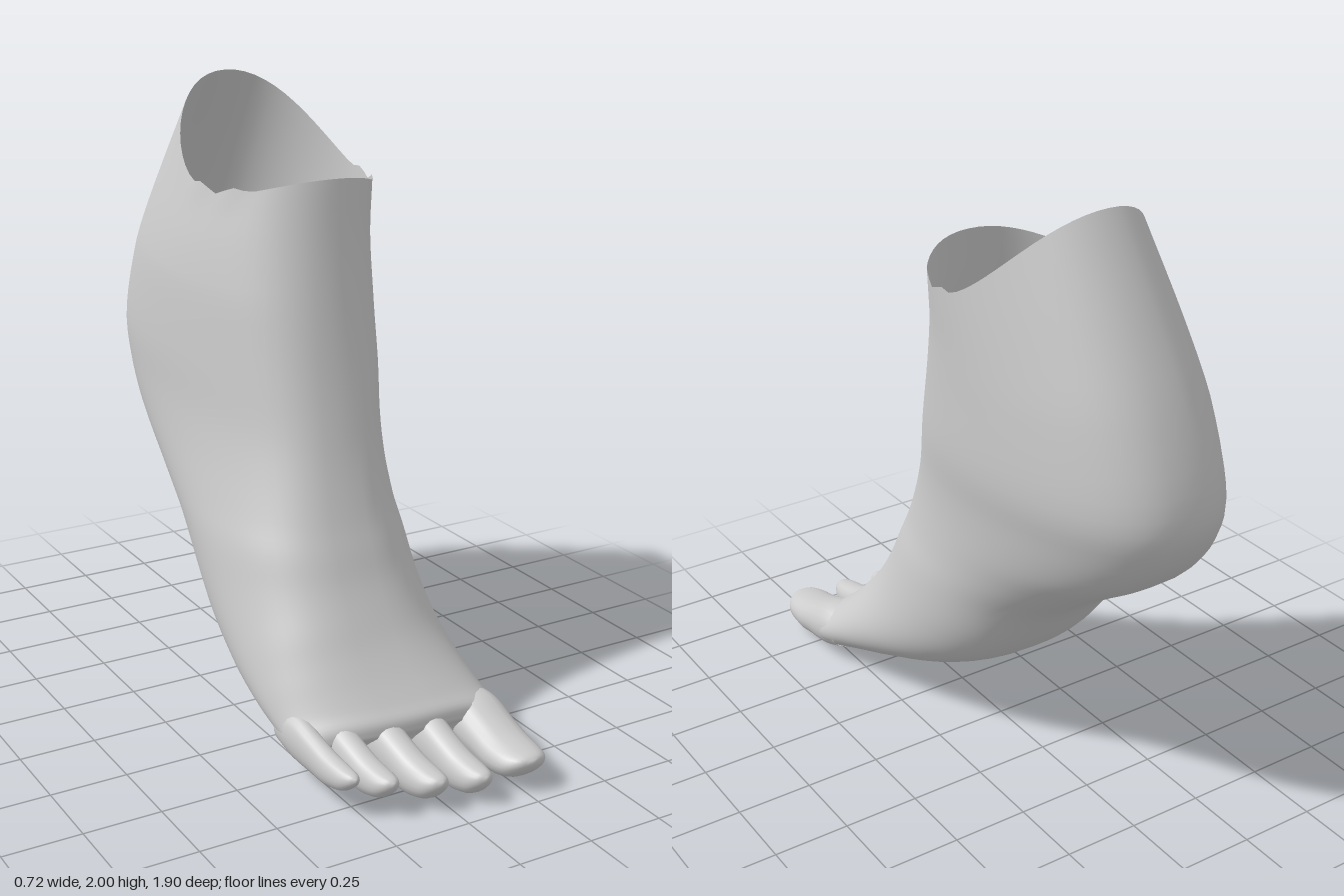
import * as THREE from 'three';

const skin = new THREE.MeshStandardMaterial({ color: 0xcccccc, side: THREE.DoubleSide });

// Catmull-Rom value of channel k at position s along the key sections
function sample(keys, k, s) {
  const n = keys.length - 1;
  const i = Math.min(Math.floor(s), n - 1), t = s - i;
  const p1 = keys[i][k], p2 = keys[i + 1][k];
  const m1 = i > 0 ? (p2 - keys[i - 1][k]) / 2 : p2 - p1;
  const m2 = i + 2 <= n ? (keys[i + 2][k] - p1) / 2 : p2 - p1;
  const t2 = t * t, t3 = t2 * t;
  return (2 * t3 - 3 * t2 + 1) * p1 + (t3 - 2 * t2 + t) * m1 + (3 * t2 - 2 * t3) * p2 + (t3 - t2) * m2;
}

// Skin over key sections [frontZ, frontY, backZ, backY, minX, maxX, roundness].
// The first section stays open and the last one is closed.
function loft(name, keys, steps, sides, adjust = () => {}) {
  const pos = [], index = [];
  const rows = (keys.length - 1) * steps;
  const v = new THREE.Vector3();
  for (let r = 0; r <= rows; r++) {
    const s = r / steps;
    const [fz, fy, bz, by, x0, x1, p] = [0, 1, 2, 3, 4, 5, 6].map(k => sample(keys, k, s));
    for (let j = 0; j < sides; j++) {
      const a = j / sides * Math.PI * 2, t = (1 - Math.cos(a)) / 2, sn = Math.sin(a);
      const w = Math.sign(sn) * Math.pow(Math.abs(sn), p);
      v.set((x0 + x1) / 2 + w * (x1 - x0) / 2, fy + (by - fy) * t, fz + (bz - fz) * t);
      adjust(v, s, t);
      pos.push(v.x, v.y, v.z);
    }
  }
  for (let r = 0; r < rows; r++) {
    for (let j = 0; j < sides; j++) {
      const a = r * sides + j, b = r * sides + (j + 1) % sides;
      index.push(a, a + sides, b, b, a + sides, b + sides);
    }
  }
  // end cap
  const last = rows * sides, centre = new THREE.Vector3();
  for (let j = 0; j < sides; j++) centre.add(v.fromArray(pos, (last + j) * 3));
  centre.divideScalar(sides);
  pos.push(centre.x, centre.y, centre.z);
  for (let j = 0; j < sides; j++) index.push(last + j, last + sides, last + (j + 1) % sides);

  const g = new THREE.BufferGeometry();
  g.setAttribute('position', new THREE.Float32BufferAttribute(pos, 3));
  g.setIndex(index);
  g.computeVertexNormals();
  const mesh = new THREE.Mesh(g, skin);
  mesh.name = name;
  return mesh;
}

// From the ankle opening, over heel and instep, to the base of the toes
const footKeys = [
  [0.09, 1.74, -0.605, 2.00, -0.235, 0.35, 0.95],
  [0.125, 1.55, -0.76, 1.70, -0.285, 0.347, 0.92],
  [0.17, 1.35, -0.875, 1.45, -0.315, 0.345, 0.86],
  [0.22, 1.15, -0.95, 1.20, -0.33, 0.34, 0.8],
  [0.27, 0.98, -0.92, 1.05, -0.33, 0.315, 0.78],
  [0.31, 0.86, -0.80, 0.90, -0.335, 0.30, 0.76],
  [0.36, 0.73, -0.60, 0.76, -0.345, 0.292, 0.75],
  [0.40, 0.64, -0.41, 0.615, -0.355, 0.295, 0.75],
  [0.44, 0.55, -0.25, 0.43, -0.36, 0.30, 0.75],
  [0.49, 0.46, -0.11, 0.305, -0.365, 0.307, 0.75],
  [0.54, 0.38, 0.07, 0.20, -0.367, 0.318, 0.75],
  [0.60, 0.30, 0.28, 0.12, -0.362, 0.332, 0.72],
  [0.655, 0.235, 0.46, 0.065, -0.35, 0.346, 0.68],
  [0.69, 0.195, 0.61, 0.02, -0.335, 0.355, 0.62],
  [0.695, 0.15, 0.66, 0.04, -0.31, 0.335, 0.6],
];

function shapeFoot(v, s, t) {
  // rim dips at both sides, with a small scallop
  const rim = Math.max(0, 1 - s / 2);
  v.y -= 0.165 * Math.sin(Math.PI * t) * rim;
  const notch = Math.max(0, 1 - s * 3);
  if (t > 0.15 && t < 0.52) v.y += 0.02 * notch * Math.sin((t - 0.15) / 0.37 * Math.PI * 2) ** 2;
  // ball of the foot sweeps back and up toward the small toe
  const fade = THREE.MathUtils.smoothstep(s, 9, 13);
  const out = Math.max(0, (0.1 - v.x) / 0.42) ** 2;
  v.z -= 0.09 * out * fade;
  v.y += 0.03 * out * fade * t;
}

// Toes: root x, tip x, half width, root z, tip z, top y, bottom y
const toes = [
  ['bigToe', 0.262, 0.268, 0.094, 0.66, 0.95, 0.20, 0.012],
  ['secondToe', 0.082, 0.102, 0.056, 0.67, 0.945, 0.185, 0.0],
  ['thirdToe', -0.065, -0.035, 0.058, 0.65, 0.915, 0.19, 0.008],
  ['fourthToe', -0.20, -0.175, 0.05, 0.61, 0.87, 0.195, 0.03],
  ['littleToe', -0.304, -0.28, 0.04, 0.54, 0.83, 0.21, 0.06],
];

function makeToe([name, xr, xt, hw, z0, z1, top, bottom]) {
  // fraction along, width factor, top height factor, bottom height factor
  const outline = [
    [-0.3, 0.9, 1, 0.25], [0, 1, 1, 0.08], [0.3, 0.95, 0.82, 0.03], [0.55, 0.94, 0.68, 0],
    [0.8, 0.85, 0.6, 0.1], [0.94, 0.55, 0.56, 0.28], [1, 0.12, 0.5, 0.42],
  ];
  const keys = outline.map(([f, w, hi, lo]) => {
    const z = z0 + (z1 - z0) * f, x = xr + (xt - xr) * f, h = top - bottom;
    return [z, bottom + h * hi, z, bottom + h * lo, x - hw * w, x + hw * w, 0.85];
  });
  return loft(name, keys, 4, 20);
}

export function createModel() {
  const foot = new THREE.Group();
  foot.name = 'foot';
  foot.add(loft('ankleAndFoot', footKeys, 4, 56, shapeFoot));
  toes.forEach(t => foot.add(makeToe(t)));
  return foot;
}
